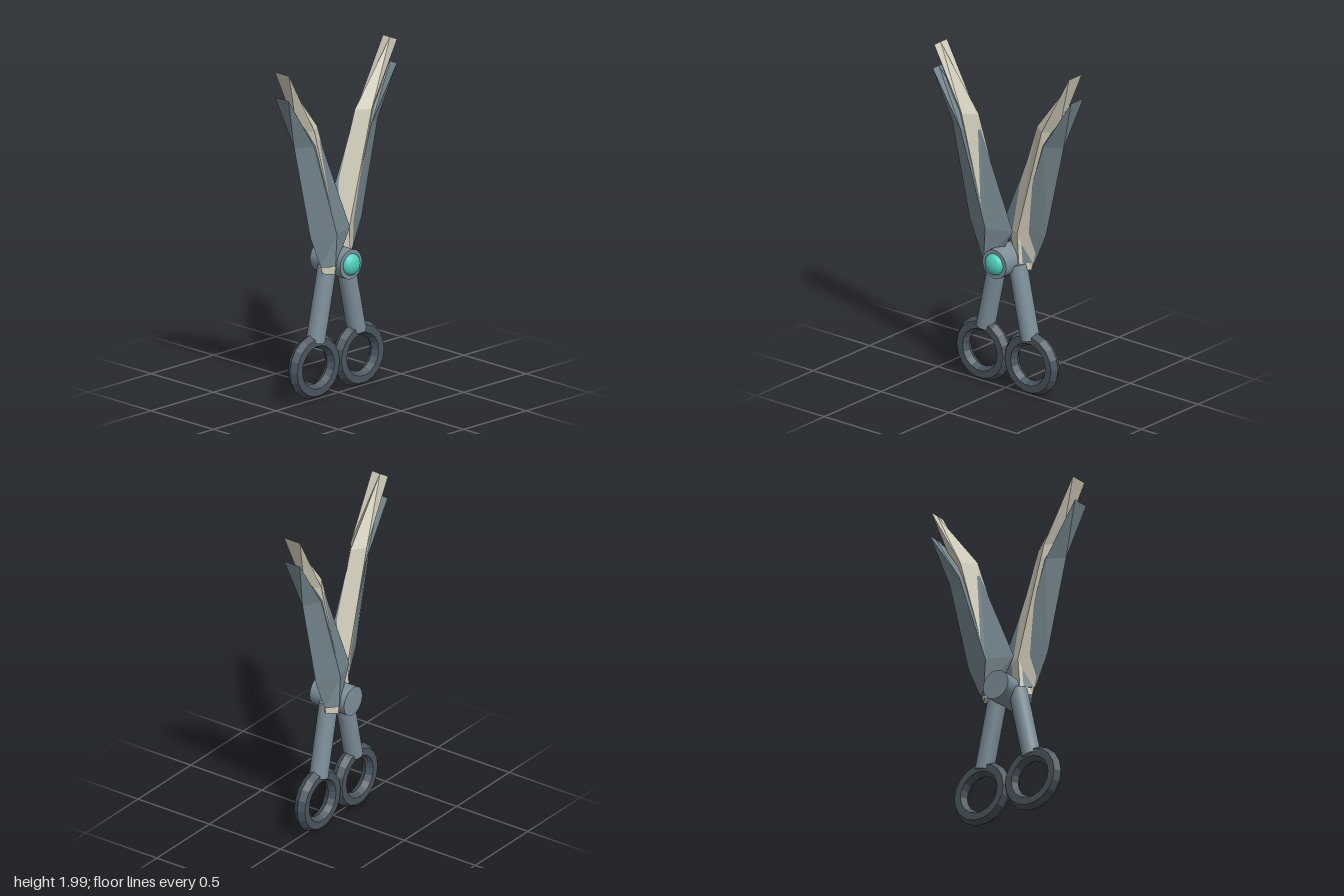
import * as THREE from 'three';

const mat = (name, color, flatShading = false) => {
  const m = new THREE.MeshStandardMaterial({ color, flatShading });
  m.name = name;
  return m;
};

const PIVOT_Y = 0.79;
const MID_Z = -0.021; // both halves are turned about this depth

// Blade with a diamond cross-section; sections are [y, ridge x, half width]
function bladeGeometry(sections, depth) {
  const pos = [];
  const index = [];
  for (const [y, x, w] of sections) {
    pos.push(x - w, y, 0, x, y, depth, x + w, y, 0, x, y, -depth);
  }
  for (let i = 0; i < sections.length - 1; i++) {
    for (let j = 0; j < 4; j++) {
      const a = i * 4 + j;
      const b = i * 4 + (j + 1) % 4;
      const c = b + 4;
      const d = a + 4;
      // diagonals mirror between the front and back faces
      if (j < 2) index.push(a, b, c, a, c, d);
      else index.push(a, b, d, b, c, d);
    }
  }
  index.push(0, 2, 1, 0, 3, 2); // base cap
  const g = new THREE.BufferGeometry();
  g.setAttribute('position', new THREE.Float32BufferAttribute(pos, 3));
  g.setIndex(index);
  const flat = g.toNonIndexed();
  flat.computeVertexNormals();
  return flat;
}

export function createModel() {
  const steel = mat('blue grey steel', 0x768890, true);
  const pale = mat('pale edge metal', 0xd2cebb, true);
  const handleMetal = mat('handle metal', 0x7d8f99);
  const dark = mat('dark ring metal', 0x4a555e, true);
  const teal = mat('teal gem', 0x4fd0bb);

  const model = new THREE.Group();
  model.name = 'scissors';

  const add = (parent, name, geometry, material, x = 0, y = 0, z = 0) => {
    const mesh = new THREE.Mesh(geometry, material);
    mesh.name = name;
    mesh.position.set(x, y, z);
    parent.add(mesh);
    return mesh;
  };

  const outerBlade = bladeGeometry([
    [0.79, -0.1, 0.063],
    [0.98, -0.088, 0.158],
    [1.54, -0.27, 0.105],
    [1.855, -0.475, 0],
  ], 0.0545);
  const innerBlade = bladeGeometry([
    [0.745, -0.1, 0.045],
    [0.97, -0.085, 0.118],
    [1.63, -0.265, 0.08],
    [2.0, -0.467, 0],
  ], 0.0565);
  const ring = new THREE.TorusGeometry(0.149, 0.043, 6, 18);

  // Handle rod runs from the ring up to the pivot
  const bottom = new THREE.Vector3(-0.165, 0.34, 0);
  const top = new THREE.Vector3(-0.07, 0.775, 0);
  const rod = new THREE.CylinderGeometry(0.055, 0.055, bottom.distanceTo(top), 24);
  const lean = -Math.atan2(top.x - bottom.x, top.y - bottom.y);

  // Two identical halves, the second turned half a circle about the vertical
  for (const [name, turn] of [['rightHalf', 0], ['leftHalf', Math.PI]]) {
    const half = new THREE.Group();
    half.name = name;
    half.position.z = MID_Z;
    half.rotation.y = turn;
    add(half, 'steelBlade', outerBlade, steel, 0, 0, 0.0415);
    add(half, 'paleBlade', innerBlade, pale, 0, 0, 0.0355);
    const mid = bottom.clone().lerp(top, 0.5);
    add(half, 'handleRod', rod, handleMetal, mid.x, mid.y, 0).rotation.z = lean;
    add(half, 'fingerRing', ring, dark, -0.177, 0.2, 0);
    model.add(half);
  }

  // Pivot and its gem
  const hub = add(model, 'pivotHub', new THREE.CylinderGeometry(0.087, 0.087, 0.242, 32), handleMetal, 0, PIVOT_Y, MID_Z);
  hub.rotation.x = Math.PI / 2;
  const gem = add(model, 'pivotGem', new THREE.SphereGeometry(0.063, 32, 20), teal, 0, PIVOT_Y, 0.1);
  gem.scale.z = 0.6;

  return model;
}
